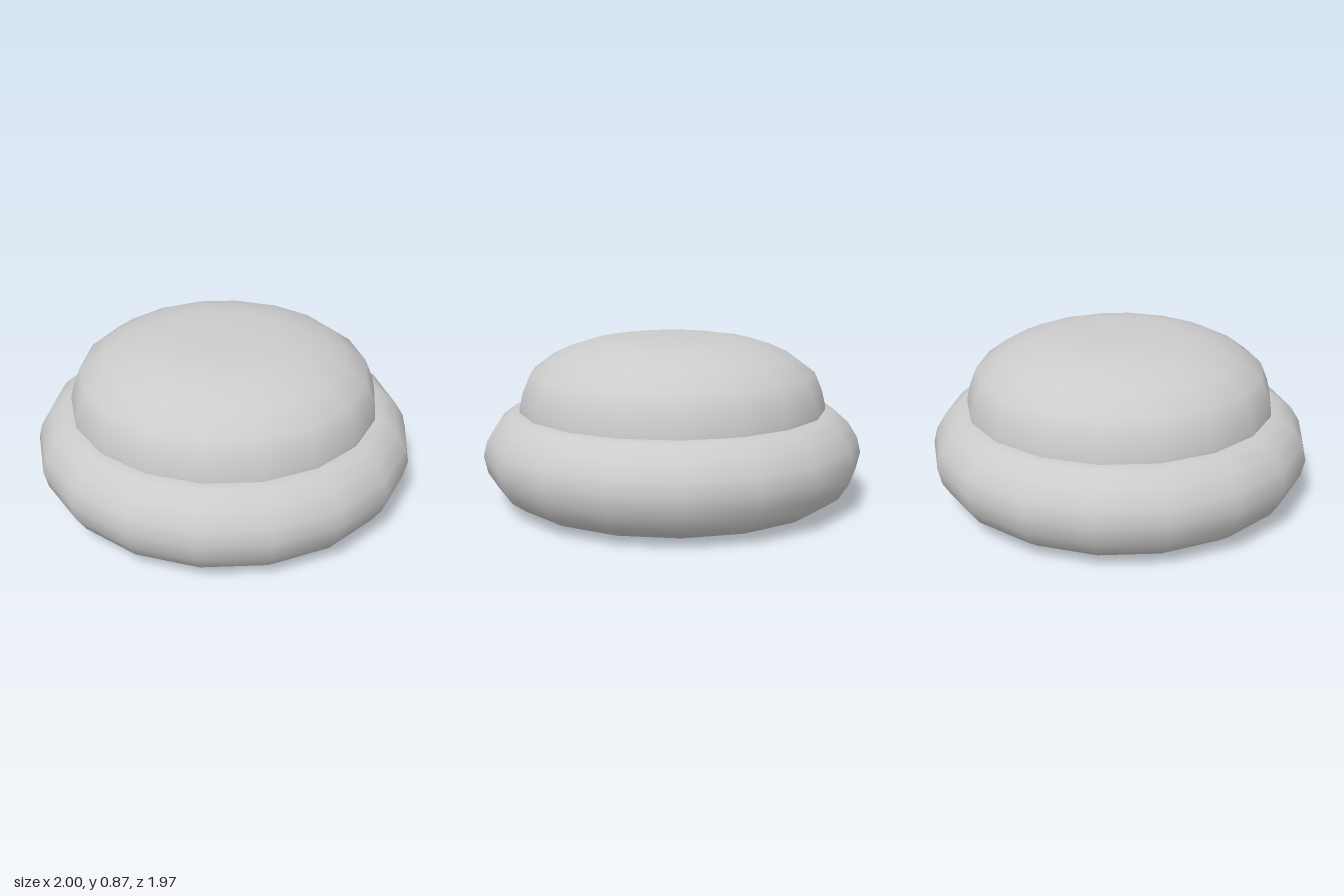
import * as THREE from 'three';

const SIDES = 18;

// Smooth turned part from [radius, height] pairs, bottom to top, with a corner on the x axis
function turned(name, profile) {
  const points = profile.map(([r, y]) => new THREE.Vector2(r, y));
  const geometry = new THREE.LatheGeometry(points, SIDES, Math.PI / 2);
  const mesh = new THREE.Mesh(geometry, new THREE.MeshStandardMaterial({ color: 0xcccccc }));
  mesh.name = name;
  return mesh;
}

export function createModel() {
  const group = new THREE.Group();
  group.name = 'domedCushion';

  // Wide rounded base with a nearly flat underside
  group.add(turned('base', [
    [0, 0], [0.45, 0.004], [0.74, 0.012], [0.86, 0.04], [0.93, 0.09], [0.98, 0.17],
    [1, 0.26], [0.98, 0.34], [0.93, 0.42], [0.86, 0.473], [0.8, 0.485], [0.6, 0.487], [0, 0.487],
  ]));

  // Narrower dome with a flattened crown
  group.add(turned('dome', [
    [0.81, 0.47], [0.808, 0.51], [0.79, 0.585], [0.75, 0.68], [0.64, 0.76],
    [0.54, 0.805], [0.42, 0.842], [0.3, 0.86], [0.15, 0.865], [0, 0.866],
  ]));

  return group;
}
